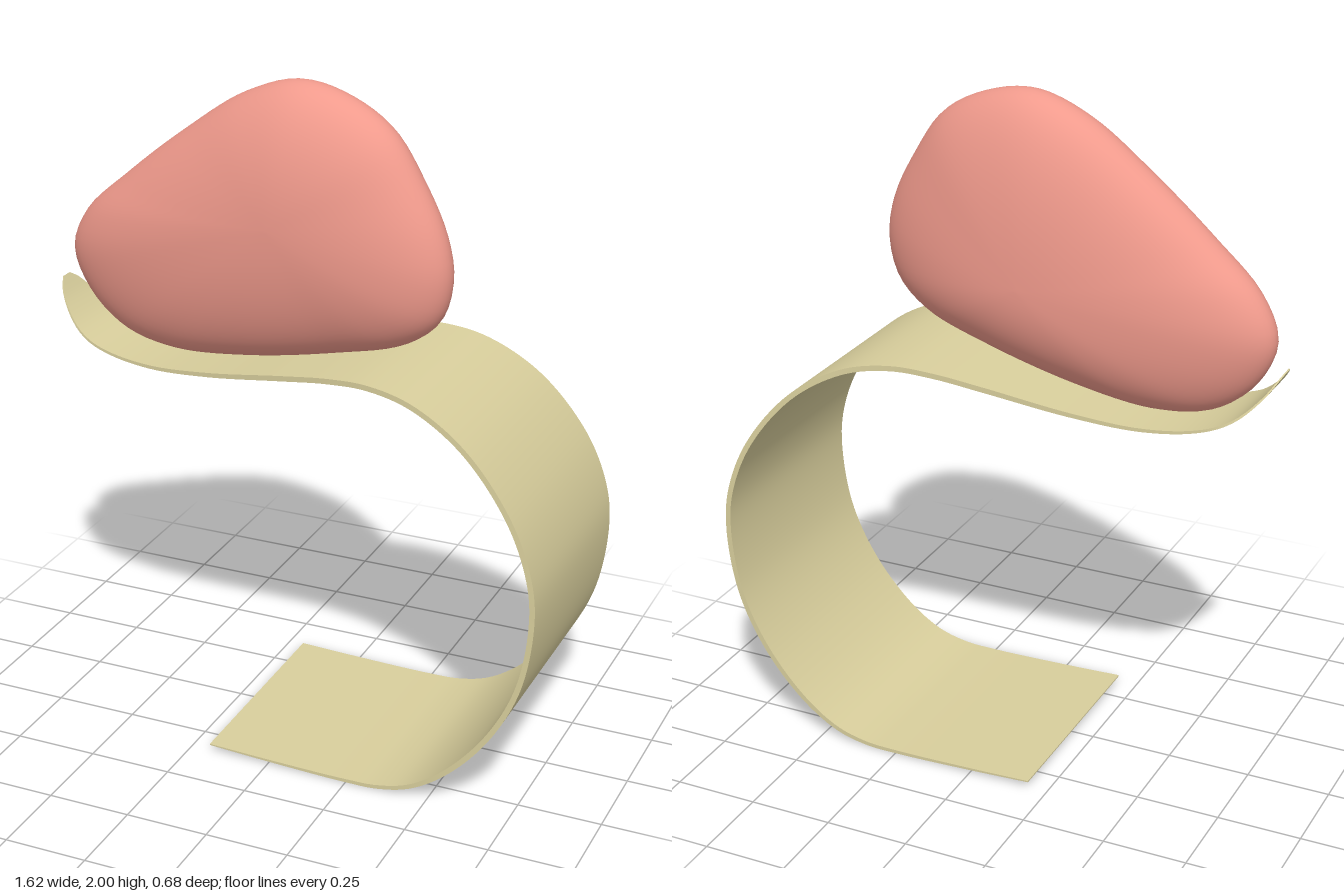
import * as THREE from 'three';
import { toCreasedNormals } from 'three/addons/utils/BufferGeometryUtils.js';

function curve(points, closed) {
  return new THREE.CatmullRomCurve3(points.map(([x, y]) => new THREE.Vector3(x, y, 0)), closed, 'centripetal');
}

function meshGeometry(positions, indices) {
  const g = new THREE.BufferGeometry();
  g.setAttribute('position', new THREE.Float32BufferAttribute(positions, 3));
  g.setIndex(indices);
  return g;
}

// Curled strip, from the pointed tip at the top down to the flat foot
function bandGeometry() {
  const path = curve([
    [-0.81, 1.31], [-0.77, 1.25], [-0.7, 1.185], [-0.6, 1.147], [-0.45, 1.132], [-0.25, 1.15],
    [0, 1.193], [0.15, 1.217], [0.28, 1.224], [0.42, 1.196], [0.58, 1.1], [0.72, 0.93],
    [0.785, 0.77], [0.798, 0.64], [0.765, 0.43], [0.68, 0.255], [0.56, 0.115], [0.45, 0.04],
    [0.35, 0.013], [0.25, 0.009], [0, 0.015], [-0.19, 0.023],
  ], false);
  const steps = 160, pos = [], idx = [];
  for (let i = 0; i <= steps; i++) {
    const u = i / steps;
    const p = path.getPointAt(u), d = path.getTangentAt(u);
    // The upper arm tapers towards a rounded tip; the lower part keeps its width
    let w = 0.34;
    if (p.y > 0.64) {
      const round = Math.min(1, Math.max(0, (-0.62 - p.x) / 0.192));
      w = (0.23 + 0.137 * p.x) * Math.sqrt(1 - round * round);
    }
    const t = 0.002 + 0.006 * Math.min(1, Math.sin(Math.PI * u) * 1.4);
    for (const [n, z] of [[t, w], [t, -w], [-t, -w], [-t, w]]) {
      pos.push(p.x - d.y * n, p.y + d.x * n, z);
    }
  }
  for (let i = 0; i < steps; i++) {
    for (let j = 0; j < 4; j++) {
      const a = i * 4 + j, b = i * 4 + (j + 1) % 4;
      idx.push(a, a + 4, b + 4, a, b + 4, b);
    }
  }
  const e = steps * 4;
  idx.push(0, 1, 2, 0, 2, 3, e, e + 2, e + 1, e, e + 3, e + 2);
  return toCreasedNormals(meshGeometry(pos, idx), 0.6);
}

// Rounded stone: its outline shrinks in rings towards the front and back faces
function stoneGeometry() {
  const outline = curve([
    [-0.79, 1.4], [-0.74, 1.52], [-0.6, 1.65], [-0.4, 1.81], [-0.2, 1.945], [-0.03, 2.0],
    [0.13, 1.97], [0.26, 1.895], [0.355, 1.765], [0.43, 1.62], [0.452, 1.5], [0.42, 1.38],
    [0.32, 1.295], [0.1, 1.225], [-0.2, 1.16], [-0.45, 1.138], [-0.62, 1.175], [-0.74, 1.275],
  ], true);
  const cols = 96, rings = 40, pos = [], idx = [];
  const cx = -0.06, cy = 1.54, depth = 0.178;
  const rim = outline.getSpacedPoints(cols);
  for (let r = 0; r <= rings; r++) {
    const phi = 0.01 + (Math.PI - 0.02) * r / rings;
    const s = Math.pow(Math.sin(phi), 0.95), c = Math.cos(phi);
    for (let k = 0; k < cols; k++) {
      const x = cx + (rim[k].x - cx) * s;
      const y = cy + (rim[k].y - cy) * s + 0.07 * c * (1 - s);
      // The middle plane turns forward towards the wide end
      const mid = 0.032 + 0.085 * x + 0.1 * Math.max(0, x) ** 2;
      pos.push(x, y, mid + depth * c);
    }
  }
  const at = (r, k) => r * cols + k % cols;
  for (let r = 0; r < rings; r++) {
    for (let k = 0; k < cols; k++) {
      const a = at(r, k), b = at(r, k + 1), d = at(r + 1, k), e = at(r + 1, k + 1);
      idx.push(a, b, d, b, e, d);
    }
  }
  // Close the tiny openings at the two faces
  for (let k = 1; k < cols - 1; k++) {
    idx.push(0, at(0, k + 1), at(0, k));
    idx.push(at(rings, 0), at(rings, k), at(rings, k + 1));
  }
  const g = meshGeometry(pos, idx);
  g.computeVertexNormals();
  return g;
}

export function createModel() {
  const group = new THREE.Group();
  const add = (name, geometry, color) => {
    const mesh = new THREE.Mesh(geometry, new THREE.MeshStandardMaterial({ color }));
    mesh.name = name;
    group.add(mesh);
  };
  add('curledBand', bandGeometry(), 0xd8ce9c);
  add('stone', stoneGeometry(), 0xf09a8c);
  return group;
}
